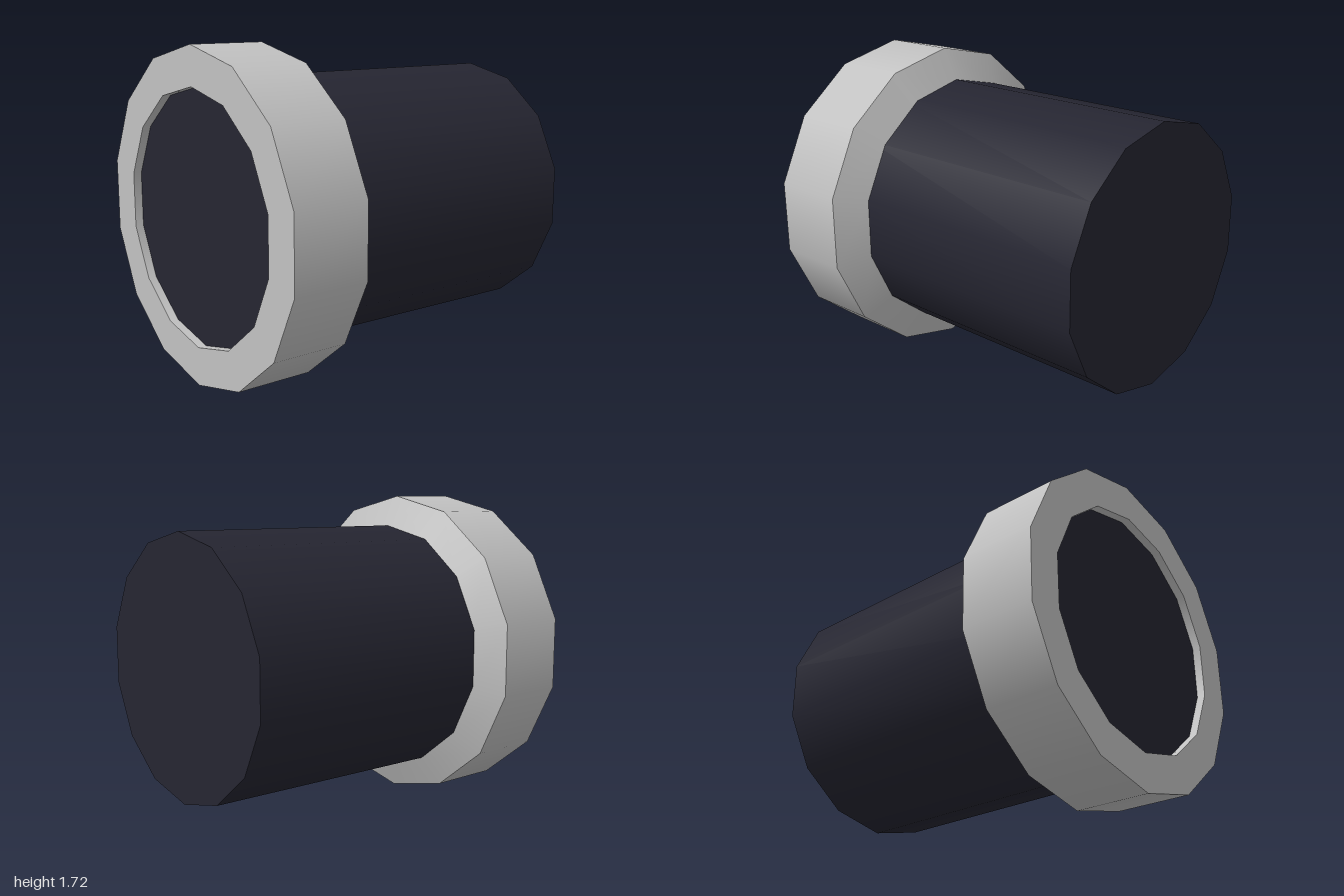
import * as THREE from 'three';
import { mergeGeometries } from 'three/addons/utils/BufferGeometryUtils.js';

const SIDES = 14;

export function createModel() {
  const lightGrey = new THREE.MeshStandardMaterial({ color: 0xc2c2c2 });
  lightGrey.name = 'lightGrey';
  const darkNavy = new THREE.MeshStandardMaterial({ color: 0x252531 });
  darkNavy.name = 'darkNavy';

  // Revolve each profile segment separately so the edges between bands stay sharp.
  const turned = (profile) => {
    const bands = [];
    for (let i = 0; i < profile.length - 1; i++) {
      const pts = [profile[i], profile[i + 1]].map(([r, z]) => new THREE.Vector2(r, z));
      bands.push(new THREE.LatheGeometry(pts, SIDES));
    }
    return mergeGeometries(bands).rotateX(Math.PI / 2);
  };

  const part = (name, geometry, material) => {
    const mesh = new THREE.Mesh(geometry, material);
    mesh.name = name;
    return mesh;
  };

  const model = new THREE.Group();
  model.name = 'lampHead';

  // Front assembly, with its origin at the centre of the front rim
  const front = new THREE.Group();
  front.name = 'frontAssembly';
  front.position.set(-0.016, 0.86, 0.935);
  front.rotation.y = -0.078;
  model.add(front);

  // Collar: tapered back, outer wall, flat rim, recess wall
  front.add(part('collar', turned([
    [0.688, -0.494], [0.86, -0.411], [0.86, 0], [0.658, 0], [0.658, -0.045],
  ]), lightGrey));

  // Lens set just inside the rim
  const lens = part('lens', new THREE.CircleGeometry(0.658, SIDES, Math.PI / 2), darkNavy);
  lens.position.z = -0.045;
  front.add(lens);

  // Barrel, with its origin at the centre of the back cap; its front end is inside the collar
  const length = 1.5;
  const barrel = part('barrel',
    new THREE.CylinderGeometry(0.692, 0.692, length, SIDES).rotateX(Math.PI / 2).translate(0, 0, length / 2),
    darkNavy);
  barrel.position.set(0.152, 0.862, -0.933);
  barrel.rotation.y = -0.097;
  model.add(barrel);

  return model;
}
